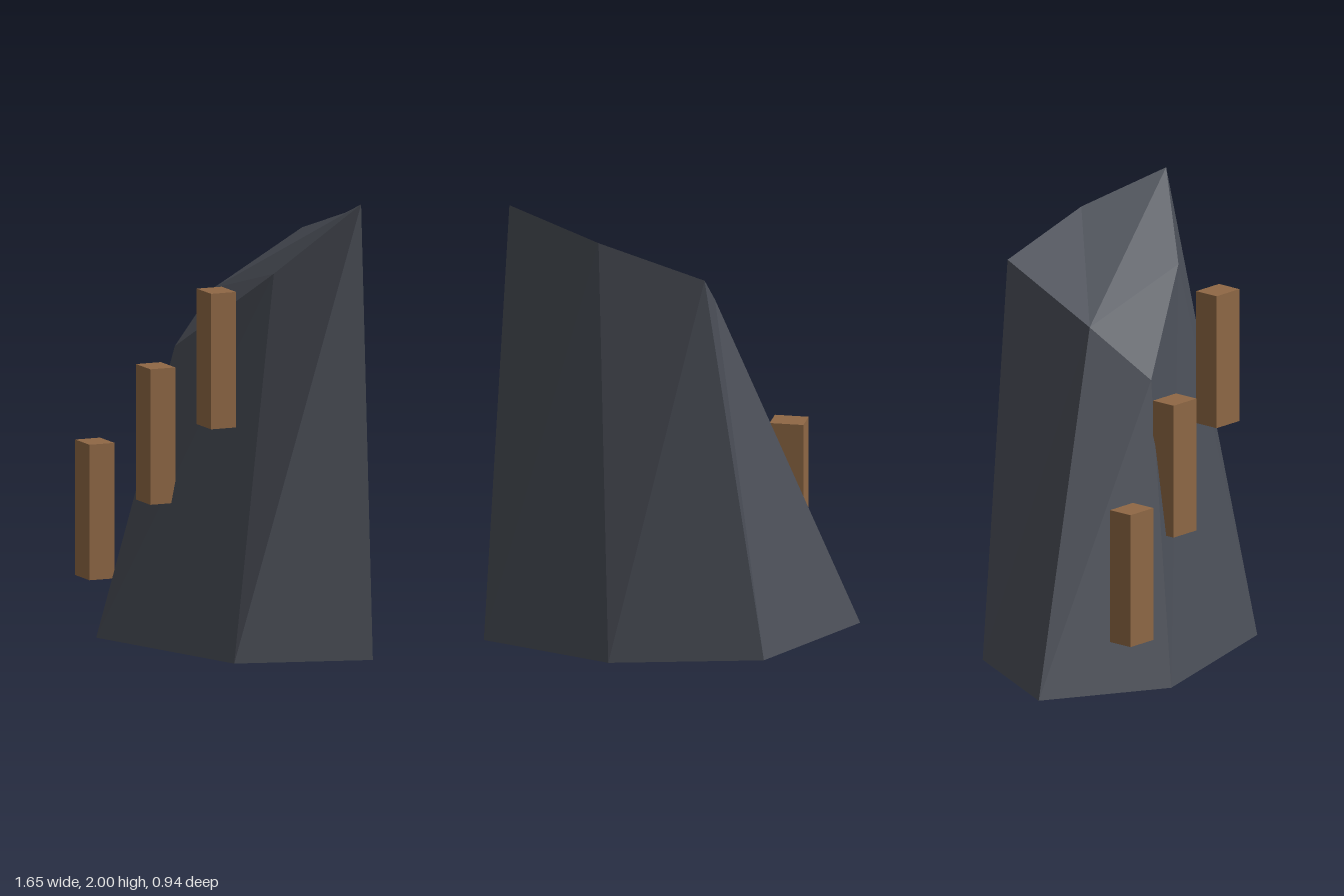
import * as THREE from 'three';

// Six-sided rings, anticlockwise seen from above, starting at the right tip
const BASE = [
  [-0.83, 0, 0.045], [-0.39, 0, 0.47], [0.51, 0, 0.435],
  [0.825, 0, -0.09], [0.305, 0, -0.45], [-0.375, 0, -0.46],
];
const TOP = [
  [-0.19, 1.52, -0.03], [-0.13, 1.3, 0.24], [0.39, 1.675, 0.11],
  [0.715, 2, -0.115], [0.34, 1.89, -0.34], [-0.115, 1.75, -0.47],
];

// Faceted boulder lofted between the two rings, with caps
function rockGeometry() {
  const n = BASE.length;
  const positions = [];
  const tri = (...corners) => corners.forEach((p) => positions.push(...p));
  for (let i = 0; i < n; i++) {
    const j = (i + 1) % n;
    tri(TOP[i], BASE[i], TOP[j]);
    tri(BASE[i], BASE[j], TOP[j]);
  }
  for (let i = 1; i < n - 1; i++) {
    tri(TOP[0], TOP[i], TOP[i + 1]);
    tri(BASE[0], BASE[i + 1], BASE[i]);
  }
  const geometry = new THREE.BufferGeometry();
  geometry.setAttribute('position', new THREE.Float32BufferAttribute(positions, 3));
  geometry.computeVertexNormals();
  return geometry;
}

export function createModel() {
  const model = new THREE.Group();
  model.name = 'rockWithPosts';

  const stone = new THREE.MeshStandardMaterial({ color: 0x4a4e57 });
  stone.name = 'slateStone';
  const wood = new THREE.MeshStandardMaterial({ color: 0x8f6845 });
  wood.name = 'brownWood';

  const rock = new THREE.Mesh(rockGeometry(), stone);
  rock.name = 'rock';
  model.add(rock);

  // Three upright posts climbing the front face
  const postGeometry = new THREE.BoxGeometry(0.15, 0.6, 0.12);
  for (let i = 0; i < 3; i++) {
    const post = new THREE.Mesh(postGeometry, wood);
    post.name = `post${i + 1}`;
    post.position.set(-0.54 + i * 0.415, 0.537 + i * 0.389, 0.353);
    post.rotation.y = -0.26;
    model.add(post);
  }

  return model;
}
